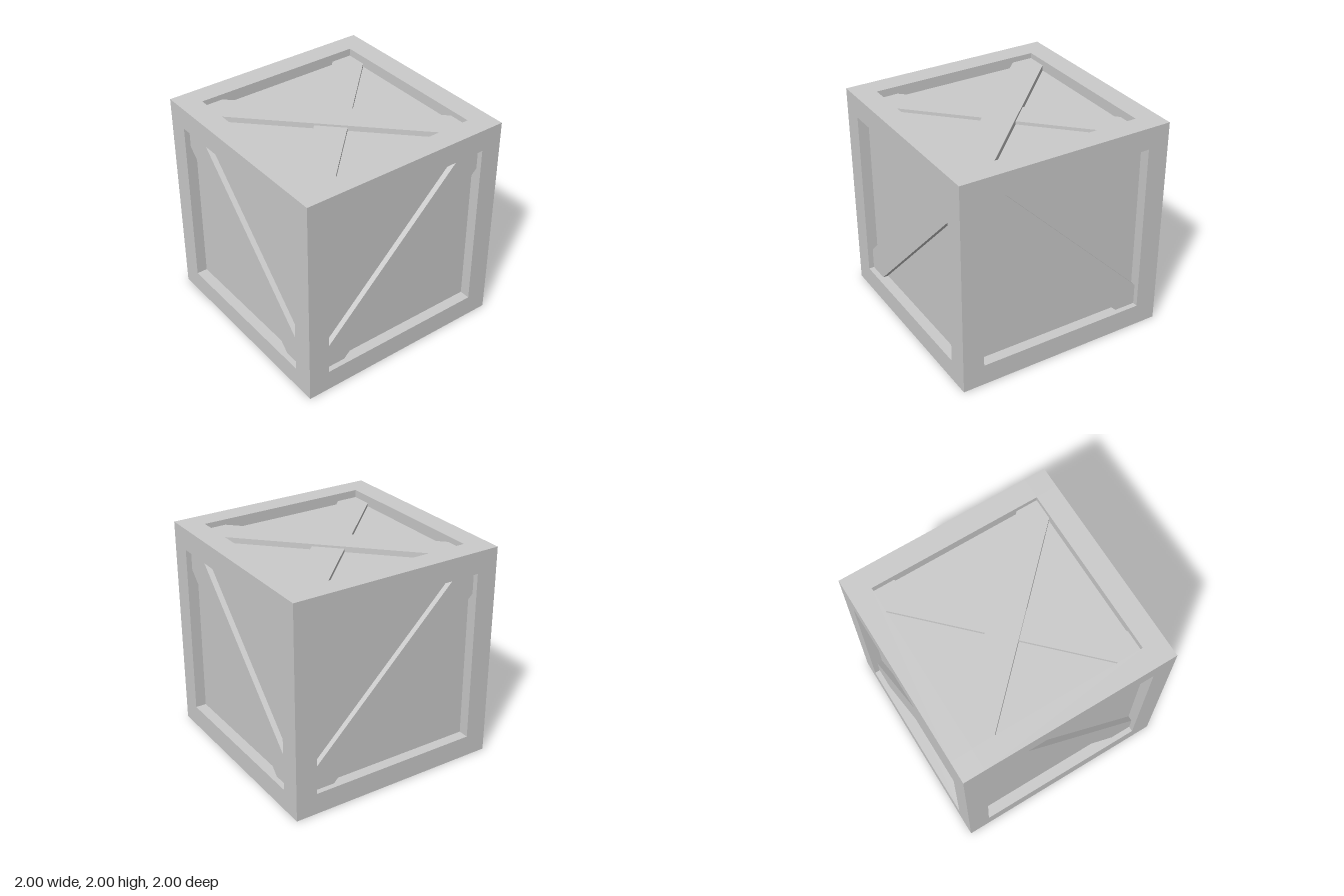
import * as THREE from 'three';

const HALF = 1;        // half of the crate's size
const BEAM = 0.2;      // width of the frame beams
const INNER = HALF - BEAM;
const PANEL = 0.9;     // distance of the panels from the centre

export function createModel() {
  const group = new THREE.Group();
  const crate = new THREE.Group();
  crate.name = 'crate';
  crate.position.y = HALF;
  group.add(crate);

  const material = new THREE.MeshStandardMaterial({ color: 0xcccccc, flatShading: true });

  const add = (geometry, name, parent = crate) => {
    const mesh = new THREE.Mesh(geometry, material);
    mesh.name = name;
    parent.add(mesh);
    return mesh;
  };

  // Recessed panels on all six sides
  add(new THREE.BoxGeometry(2 * PANEL, 2 * PANEL, 2 * PANEL), 'panels');

  // Frame: full-height posts, with rails fitted between them
  const mid = HALF - BEAM / 2;
  for (const a of [-mid, mid]) {
    for (const b of [-mid, mid]) {
      add(new THREE.BoxGeometry(BEAM, 2 * HALF, BEAM), 'cornerPost').position.set(a, 0, b);
      add(new THREE.BoxGeometry(2 * INNER, BEAM, BEAM), 'crossRail').position.set(0, a, b);
      add(new THREE.BoxGeometry(BEAM, BEAM, 2 * INNER), 'sideRail').position.set(a, b, 0);
    }
  }

  // Diagonal brace with ends cut to fit the frame corners;
  // slope 1 rises to the right, -1 falls to the right
  const brace = (slope, top) => {
    const s = INNER, c = INNER - BEAM;
    const outline = [[-s, -s], [-c, -s], [s, c], [s, s], [c, s], [-s, -c]];
    const shape = new THREE.Shape(outline.map(([x, y]) => new THREE.Vector2(x, y * slope)));
    return new THREE.ExtrudeGeometry(shape, { depth: top - PANEL, bevelEnabled: false })
      .translate(0, 0, PANEL);
  };

  // One brace on each wall, two crossed braces on the lid and the base
  const q = Math.PI / 2;
  const sides = [
    { name: 'front', rotation: [0, 0, 0], slope: -1 },
    { name: 'left', rotation: [0, q, 0], slope: 1 },
    { name: 'back', rotation: [0, 2 * q, 0], slope: -1 },
    { name: 'right', rotation: [0, -q, 0], slope: 1 },
    { name: 'lid', rotation: [-q, 0, 0], slope: 1, crossed: true },
    { name: 'base', rotation: [q, 0, 0], slope: -1, crossed: true },
  ];
  for (const { name, rotation, slope, crossed } of sides) {
    const side = new THREE.Group();
    side.name = name + 'Bracing';
    side.rotation.set(...rotation);
    crate.add(side);
    add(brace(slope, 0.95), name + 'Brace', side);
    if (crossed) add(brace(-slope, 0.93), name + 'UnderBrace', side);
  }

  return group;
}
